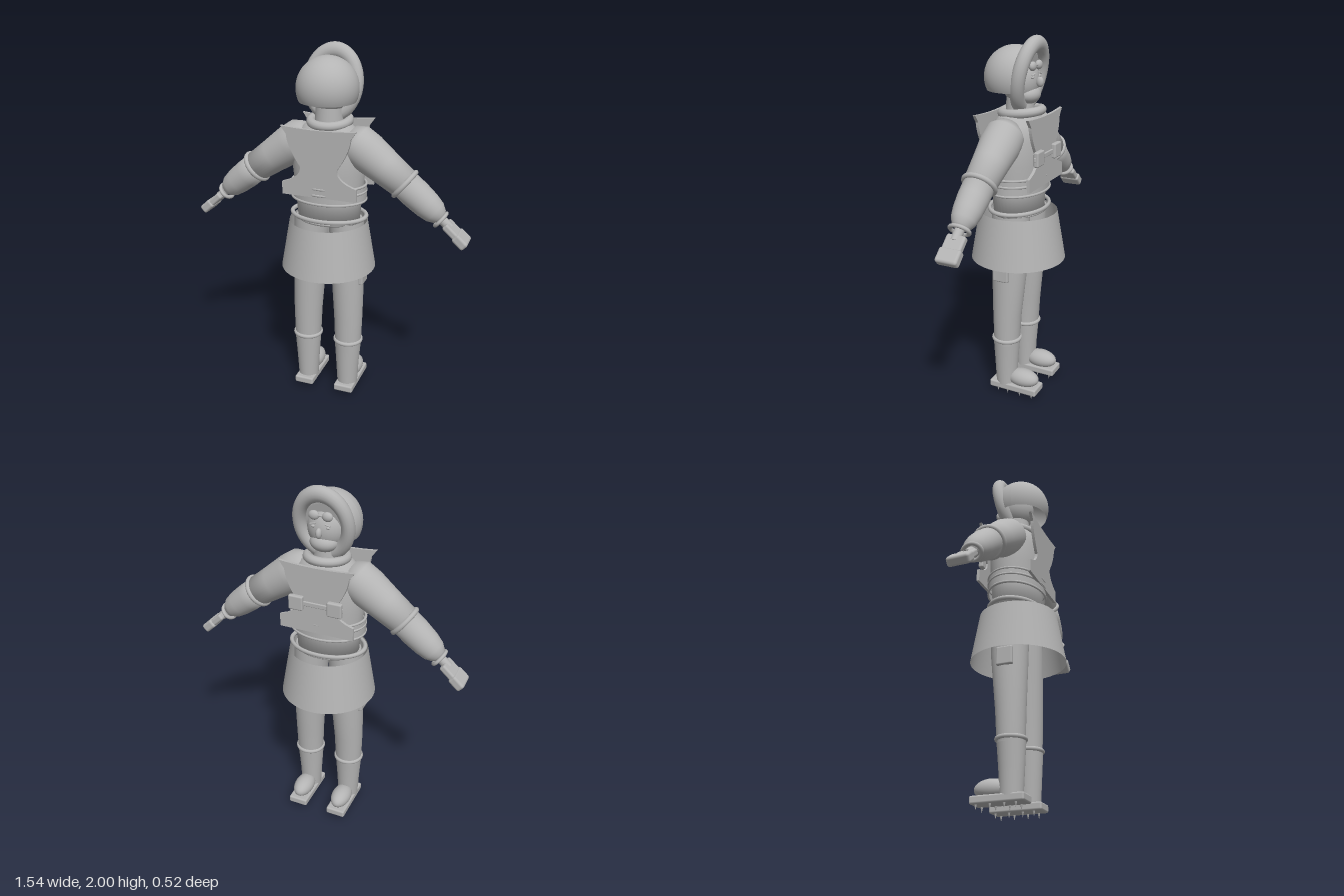
import * as THREE from 'three';
import { RoundedBoxGeometry } from 'three/addons/geometries/RoundedBoxGeometry.js';

const V = (x, y, z = 0) => new THREE.Vector3(x, y, z);
const UP = V(0, 1, 0);

export function createModel() {
  const root = new THREE.Group();
  const grey = new THREE.MeshStandardMaterial({ color: 0xb4b4b4, side: THREE.DoubleSide });
  grey.name = 'plain grey';

  const add = (name, geo, pos = [0, 0, 0], scale = [1, 1, 1], parent = root) => {
    const m = new THREE.Mesh(geo, grey);
    m.name = name;
    m.position.set(...pos);
    m.scale.set(...scale);
    parent.add(m);
    return m;
  };
  const ball = (name, pos, r) => add(name, new THREE.SphereGeometry(1, 32, 20), pos, r);
  const box = (name, pos, size, r = 0.008, parent = root) =>
    add(name, new RoundedBoxGeometry(...size, 2, r), pos, [1, 1, 1], parent);
  const lathe = (pts) => new THREE.LatheGeometry(pts.map((p) => new THREE.Vector2(...p)), 40);
  // horizontal oval ring
  const ring = (name, pos, r, tube, sx = 1, sz = 1) => {
    const g = new THREE.TorusGeometry(r, tube, 12, 48).rotateX(Math.PI / 2);
    return add(name, g, pos, [sx, 1, sz]);
  };
  const aim = (m, dir) => m.quaternion.setFromUnitVectors(UP, dir.clone().normalize());
  // stack of oval sections [x, y, z, rx, rz], bottom to top
  const loft = (rows, n = 32) => {
    const pos = [], idx = [];
    rows.forEach(([x, y, z, rx, rz], j) => {
      for (let i = 0; i < n; i++) {
        const a = (i / n) * Math.PI * 2;
        pos.push(x + rx * Math.sin(a), y, z + rz * Math.cos(a));
        if (j === 0) continue;
        const k = (i + 1) % n, lo = (j - 1) * n, hi = j * n;
        idx.push(lo + i, lo + k, hi + k, lo + i, hi + k, hi + i);
      }
    });
    const g = new THREE.BufferGeometry();
    g.setAttribute('position', new THREE.Float32BufferAttribute(pos, 3));
    g.setIndex(idx);
    g.computeVertexNormals();
    return g;
  };

  // head and face, looking toward -z
  ball('head', [0, 1.775, -0.01], [0.105, 0.118, 0.1]);
  ball('faceScarf', [0, 1.705, -0.055], [0.075, 0.05, 0.065]);
  ball('nose', [0, 1.772, -0.122], [0.016, 0.027, 0.02]);
  for (const s of [-1, 1]) {
    ball('goggleLens', [s * 0.036, 1.853, -0.098], [0.028, 0.024, 0.018]);
    const brow = box('brow', [s * 0.04, 1.812, -0.105], [0.032, 0.007, 0.01], 0.003);
    brow.rotation.z = -s * 0.2;
    ball('eye', [s * 0.04, 1.797, -0.1], [0.011, 0.007, 0.008]);
  }
  box('goggleBridge', [0, 1.855, -0.102], [0.04, 0.01, 0.012], 0.004);
  add('neck', new THREE.CylinderGeometry(0.07, 0.08, 0.16, 32), [0, 1.63, -0.01]);

  // hood dome, flattened where it meets the sloping rim
  const dome = new THREE.SphereGeometry(0.163, 48, 32, 0, Math.PI * 2, 0, 1.99);
  const dp = dome.attributes.position;
  for (let i = 0; i < dp.count; i++) {
    const limit = -0.075 - 0.21 * dp.getY(i);
    if (dp.getZ(i) < limit) dp.setZ(i, limit);
  }
  dome.computeVertexNormals();
  add('hood', dome, [0, 1.79, 0.017]);
  const rim = add('hoodRim', new THREE.TorusGeometry(0.13, 0.034, 16, 56), [0, 1.803, -0.064], [1, 1.25, 1.1]);
  rim.rotation.x = -0.21;
  const collar = ring('collar', [0, 1.615, -0.02], 0.1, 0.024, 1, 1.05);
  collar.rotation.x = 0.1;

  // jacket
  add('jacket', lathe([[0, 1.07], [0.172, 1.07], [0.182, 1.2], [0.198, 1.35], [0.195, 1.48],
    [0.17, 1.56], [0.11, 1.61], [0, 1.62]]), [0, 0, -0.005], [1, 1, 0.74]);

  // vest panels with cut armholes
  const panel = new THREE.Shape();
  panel.moveTo(-0.205, 1.24);
  panel.lineTo(0.205, 1.24);
  panel.lineTo(0.205, 1.31);
  panel.quadraticCurveTo(0.1, 1.34, 0.1, 1.4);
  panel.quadraticCurveTo(0.17, 1.5, 0.175, 1.57);
  panel.lineTo(0.205, 1.612);
  panel.quadraticCurveTo(0, 1.59, -0.205, 1.612);
  panel.lineTo(-0.175, 1.57);
  panel.quadraticCurveTo(-0.17, 1.5, -0.1, 1.4);
  panel.quadraticCurveTo(-0.1, 1.34, -0.205, 1.31);
  panel.closePath();
  const panelGeo = new THREE.ExtrudeGeometry(panel, { depth: 0.016, bevelEnabled: false, curveSegments: 10 });
  panelGeo.translate(0, -1.24, 0);
  add('vestBackPanel', panelGeo, [0, 1.24, 0.134]).rotation.x = 0.025;
  add('vestFrontPanel', panelGeo, [0, 1.24, -0.166]).rotation.x = 0.02;

  // vest hem and straps
  add('vestHem', loft([[0, 1.195, -0.006, 0.208, 0.152], [0, 1.29, -0.006, 0.208, 0.154]], 48));
  for (const y of [1.2, 1.25, 1.285]) ring('vestBand', [0, y, -0.006], 0.205, 0.007, 1, 0.755);
  box('chestStrap', [0, 1.4, -0.166], [0.3, 0.025, 0.012], 0.004);
  for (const s of [-1, 1]) box('chestPouch', [s * 0.107, 1.4, -0.171], [0.08, 0.08, 0.028]);

  // belt and open skirt
  ring('belt', [0, 1.102, -0.008], 0.207, 0.012, 1, 0.72);
  ring('beltLower', [0, 1.082, -0.008], 0.178, 0.008, 1, 0.76);
  add('skirt', new THREE.CylinderGeometry(0.213, 0.26, 0.273, 64, 1, true), [0, 0.938, 0]);

  for (const s of [-1, 1]) {
    // sleeves
    const a = V(s * 0.15, 1.515, 0), b = V(s * 0.42, 1.322, 0.003), c = V(s * 0.625, 1.155, 0);
    const up = b.clone().sub(a), fore = c.clone().sub(b), L = up.length(), F = fore.length();
    aim(add('upperSleeve', lathe([[0, -0.06], [0.07, -0.05], [0.104, 0], [0.106, 0.08],
      [0.094, L * 0.6], [0.083, L], [0, L + 0.02]]), a.toArray()), up);
    aim(add('foreSleeve', lathe([[0, -0.03], [0.079, 0], [0.08, F * 0.3], [0.074, F * 0.6],
      [0.064, F * 0.8], [0.045, F * 0.93], [0.025, F * 0.985], [0, F]]), b.toArray()), fore);
    aim(ring('elbowBand', b.toArray(), 0.081, 0.014), V(s * 0.78, -0.63));
    aim(ring('wristCuff', [s * 0.618, 1.153, 0.002], 0.042, 0.01, 1, 1.2), V(s * 0.77, -0.64));

    // mittens
    const hand = new THREE.Group();
    hand.name = 'mitten';
    hand.position.set(s * 0.615, 1.16, 0);
    aim(hand, V(s * 0.74, -0.67));
    root.add(hand);
    add('wrist', new THREE.CylinderGeometry(0.025, 0.025, 0.08, 20), [0, 0.03, 0], [1, 1, 1], hand);
    box('palm', [0, 0.085, -0.004], [0.038, 0.09, 0.105], 0.012, hand);
    box('fingers', [0, 0.155, -0.005], [0.05, 0.08, 0.12], 0.014, hand);

    // legs, gaiters and knee bands
    add('trouserLeg', loft([[s * 0.123, 0.32, 0.01, 0.075, 0.072], [s * 0.122, 0.5, 0.007, 0.081, 0.08],
      [s * 0.112, 0.8, -0.004, 0.092, 0.1], [s * 0.1, 1.08, -0.005, 0.095, 0.105]]));
    add('gaiter', loft([[s * 0.122, 0.06, 0.012, 0.058, 0.06], [s * 0.122, 0.2, 0.013, 0.066, 0.066],
      [s * 0.123, 0.345, 0.011, 0.077, 0.075]]));
    ring('gaiterBand', [s * 0.123, 0.345, 0.01], 0.073, 0.012);
    box('thighPocket', [s * 0.203, 0.768, 0.004], [0.026, 0.1, 0.09]);

    // boots with spiked soles
    ball('bootToe', [s * 0.122, 0.105, -0.09], [0.056, 0.052, 0.095]);
    box('bootSole', [s * 0.122, 0.05, -0.047], [0.112, 0.042, 0.288], 0.01);
    for (const z of [0.05, -0.01, -0.085, -0.16])
      for (const dx of [-0.037, 0.037])
        add('soleSpike', new THREE.ConeGeometry(0.008, 0.032, 8).rotateX(Math.PI), [s * 0.122 + dx, 0.016, z]);
  }
  return root;
}
